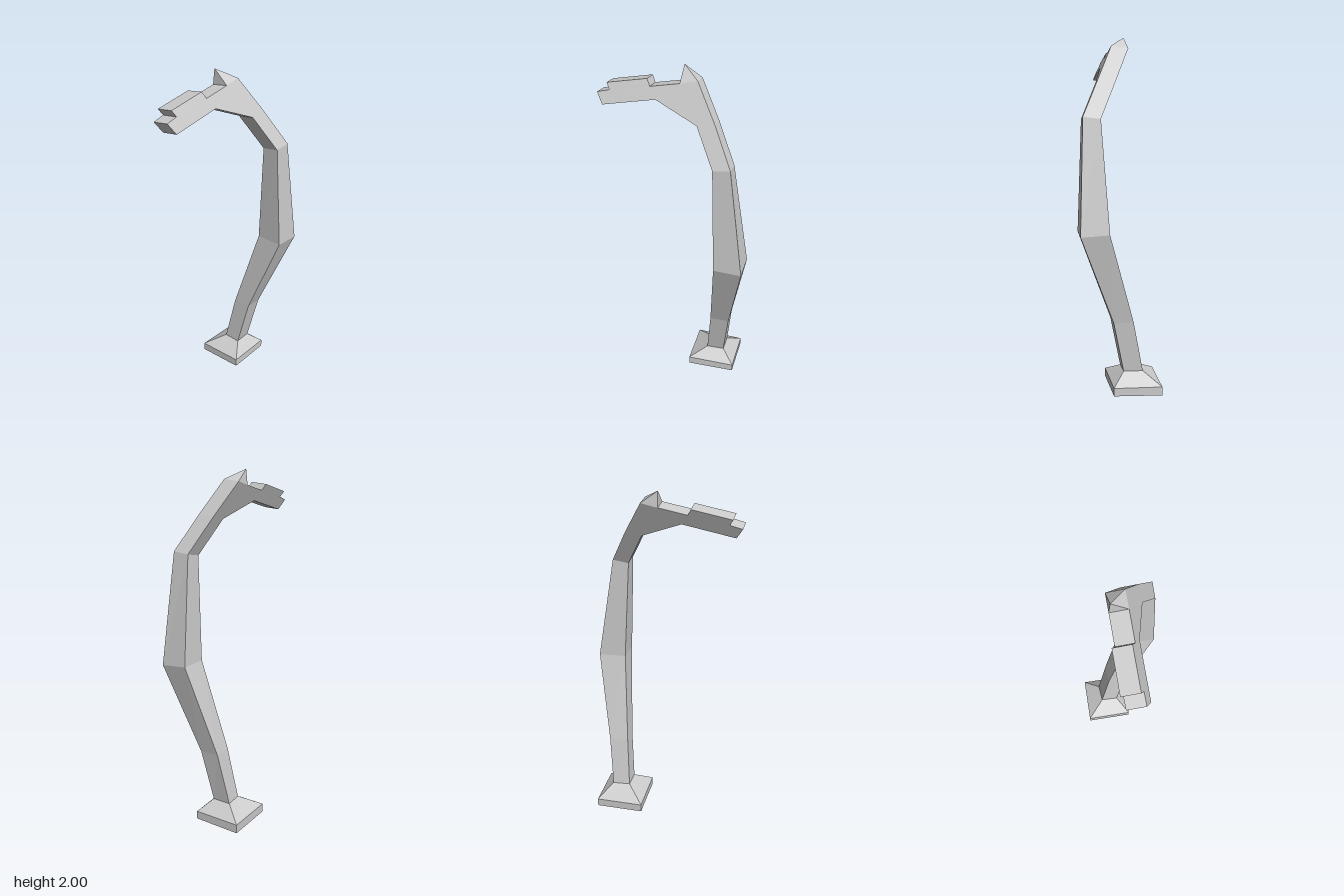
import * as THREE from 'three';

const material = new THREE.MeshStandardMaterial({ color: 0xcccccc, flatShading: true });

function makeMesh(name, geometry) {
  const mesh = new THREE.Mesh(geometry, material);
  mesh.name = name;
  return mesh;
}

// Skin four-cornered sections, listed bottom to top.
// Corners run front-left, front-right, back-right, back-left.
function loft(sections, capBottom = false) {
  const points = [];
  const tri = (a, b, c) => points.push(...a, ...b, ...c);
  for (let s = 0; s < sections.length - 1; s++) {
    const low = sections[s], high = sections[s + 1];
    for (let i = 0; i < 4; i++) {
      const j = (i + 1) % 4;
      tri(low[i], low[j], high[j]);
      if (high[i] !== high[j]) tri(low[i], high[j], high[i]);
    }
  }
  if (capBottom) {
    const [a, b, c, d] = sections[0];
    tri(a, c, b);
    tri(a, d, c);
  }
  const geometry = new THREE.BufferGeometry();
  geometry.setAttribute('position', new THREE.Float32BufferAttribute(points, 3));
  geometry.computeVertexNormals();
  return geometry;
}

// The arm leans back: its front face is a tilted plane, its back face a shifted copy
function armPoint(x, y, t) {
  const back = 1 - t;
  return [x - 0.005 * back, y - 0.012 * back, 0.08 - 0.44 * (y - 1.835) - 0.096 * back];
}

export function createModel() {
  const model = new THREE.Group();
  model.name = 'bentPost';

  const neck = [[0.192, 0.125, -0.012], [0.297, 0.125, -0.022], [0.292, 0.122, -0.132], [0.188, 0.125, -0.117]];

  // Slightly tilted foot with sloping top
  model.add(makeMesh('base', loft([
    [[0.093, 0.016, 0.068], [0.377, 0.012, 0.04], [0.362, 0, -0.235], [0.075, 0.008, -0.217]],
    [[0.093, 0.066, 0.068], [0.377, 0.058, 0.04], [0.362, 0.05, -0.235], [0.075, 0.058, -0.217]],
    neck,
  ], true)));

  // Crooked four-sided column
  model.add(makeMesh('column', loft([
    neck,
    [[0.222, 0.42, 0.047], [0.335, 0.42, 0.037], [0.327, 0.42, -0.075], [0.213, 0.42, -0.062]],
    [[0.28, 0.935, 0.232], [0.438, 0.928, 0.222], [0.432, 0.937, 0.065], [0.268, 0.942, 0.078]],
    [armPoint(0.25, 1.545, 1), armPoint(0.345, 1.558, 1), armPoint(0.345, 1.558, 0), armPoint(0.25, 1.545, 0)],
  ])));

  // Curved arm with a stepped end
  const outline = new THREE.Shape([
    [0.25, 1.545], [0.345, 1.558], [0.232, 1.755], [0.11, 1.945], [0.015, 1.925],
    [-0.145, 1.895], [-0.165, 1.93], [-0.388, 1.888], [-0.368, 1.855],
    [-0.437, 1.838], [-0.4, 1.78], [-0.105, 1.837], [0.135, 1.742],
  ].map(([x, y]) => new THREE.Vector2(x, y)));
  const arm = new THREE.ExtrudeGeometry(outline, { depth: 1, bevelEnabled: false });
  const pos = arm.attributes.position;
  for (let i = 0; i < pos.count; i++) {
    pos.setXYZ(i, ...armPoint(pos.getX(i), pos.getY(i), pos.getZ(i)));
  }
  arm.computeVertexNormals();
  model.add(makeMesh('arm', arm));

  // Pointed peak above the bend
  const tip = [0.012, 2, -0.047];
  model.add(makeMesh('peak', loft([
    [armPoint(0.015, 1.925, 1), armPoint(0.11, 1.945, 1), armPoint(0.11, 1.945, 0), armPoint(0.015, 1.925, 0)],
    [tip, tip, tip, tip],
  ])));

  return model;
}
